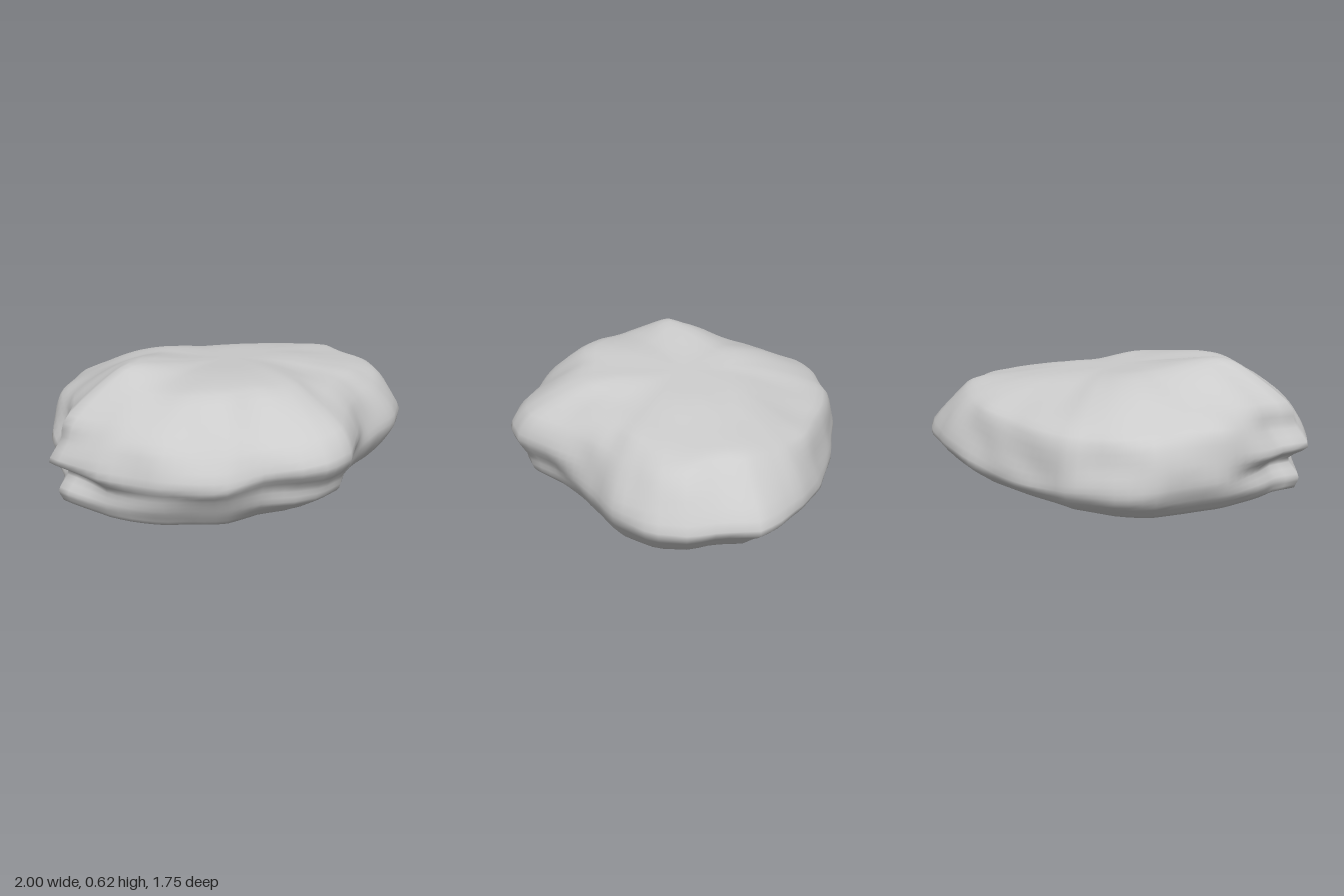
import * as THREE from 'three';

// Plan outline of the boulder, [x, z], turning from +x towards +z
const OUTLINE = [
  [1, -0.07], [0.965, 0.1], [0.97, 0.24], [0.88, 0.4], [0.67, 0.54], [0.52, 0.575], [0.35, 0.64], [0.15, 0.75],
  [0, 0.86], [-0.15, 0.88], [-0.28, 0.83], [-0.42, 0.73], [-0.6, 0.67], [-0.7, 0.58], [-0.82, 0.45],
  [-0.94, 0.2], [-1, -0.13], [-0.9, -0.23], [-0.84, -0.38], [-0.71, -0.59], [-0.4, -0.85],
  [-0.25, -0.88], [0, -0.85], [0.3, -0.7], [0.62, -0.51], [0.81, -0.35], [0.95, -0.17],
];

// Side profiles: direction in degrees, then [share of outline radius, height] from base to crown
const PROFILES = [
  { at: 5, p: [[0.8, 0], [0.91, 0.09], [1, 0.18], [0.91, 0.32], [0.8, 0.42], [0.7, 0.455], [0.5, 0.49], [0.25, 0.53]] },
  { at: 40, p: [[0.86, 0], [0.94, 0.07], [1, 0.17], [0.94, 0.28], [0.86, 0.38], [0.72, 0.46], [0.5, 0.495], [0.25, 0.53]] },
  { at: 98, p: [[0.76, 0], [0.9, 0.09], [0.92, 0.17], [1, 0.27], [0.93, 0.38], [0.76, 0.47], [0.56, 0.54], [0.3, 0.555]] },
  { at: 140, p: [[0.86, 0], [0.92, 0.08], [0.97, 0.17], [1, 0.24], [0.94, 0.35], [0.83, 0.45], [0.65, 0.565], [0.35, 0.575]] },
  { at: 164, p: [[0.92, 0], [0.95, 0.07], [0.95, 0.15], [1, 0.22], [0.94, 0.35], [0.84, 0.44], [0.66, 0.545], [0.4, 0.57]] },
  { at: 187, p: [[0.94, 0], [0.96, 0.06], [0.9, 0.14], [1, 0.21], [0.93, 0.32], [0.9, 0.42], [0.65, 0.585], [0.48, 0.615]] },
  { at: 230, p: [[0.9, 0], [0.97, 0.07], [1, 0.15], [0.98, 0.25], [0.93, 0.36], [0.78, 0.44], [0.6, 0.51], [0.35, 0.565]] },
  { at: 285, p: [[0.83, 0], [0.95, 0.05], [1, 0.1], [0.97, 0.2], [0.92, 0.34], [0.75, 0.41], [0.45, 0.505], [0.2, 0.54]] },
];
const CROWN = 0.548;
const SEGMENTS = 96, RINGS = 27;

// Radius of the outline along a direction: ray against each edge
function outlineRadius(a) {
  const c = Math.cos(a), s = Math.sin(a);
  let best = 0;
  OUTLINE.forEach(([x1, z1], i) => {
    const [x2, z2] = OUTLINE[(i + 1) % OUTLINE.length];
    const d1 = c * z1 - s * x1, d2 = c * z2 - s * x2;
    if (d1 * d2 > 0 || d1 === d2) return;
    const t = d1 / (d1 - d2);
    best = Math.max(best, c * (x1 + t * (x2 - x1)) + s * (z1 + t * (z2 - z1)));
  });
  return best;
}

// Smooth curve through each profile, ending at the crown
const curves = PROFILES.map(({ p }) => new THREE.CatmullRomCurve3(
  [...p, [0, CROWN]].map(([r, y]) => new THREE.Vector3(r, y, 0)), false, 'catmullrom', 0.4));

// Blend of the two profiles on either side of a direction
function profileAt(a, t) {
  const deg = (THREE.MathUtils.radToDeg(a) - PROFILES[0].at + 360) % 360 + PROFILES[0].at;
  let i = PROFILES.length - 1;
  while (PROFILES[i].at > deg) i--;
  const j = (i + 1) % PROFILES.length;
  const end = j ? PROFILES[j].at : PROFILES[0].at + 360;
  const k = THREE.MathUtils.smoothstep(deg, PROFILES[i].at, end);
  return curves[i].getPoint(t).lerp(curves[j].getPoint(t), k);
}

// Body vertex for a direction and a height step t (0 base, 1 crown)
function surfacePoint(a, t) {
  const { x: share, y } = profileAt(a, t);
  const rough = Math.sin(Math.PI * t) * share;
  const bump = 0.007 * rough * (Math.sin(a * 7 + t * 11) + Math.sin(a * 11 - t * 17));
  const r = outlineRadius(a) * Math.min(1, share + bump);
  const x = r * Math.cos(a), z = r * Math.sin(a);
  // Gently tilted crown, easing into the profiles further out
  const crown = CROWN - 0.09 * x + 0.03 * z;
  const height = THREE.MathUtils.lerp(crown, y, THREE.MathUtils.smoothstep(share, 0.08, 0.55));
  const dent = 0.006 * rough * Math.sin(a * 5 + t * 14);
  return [x, t > 0 ? height + dent : 0, z];
}

export function createModel() {
  const group = new THREE.Group();
  group.name = 'boulder';
  const positions = [], index = [];

  // Weathered body: rings from the base up to the crown
  for (let j = 0; j < RINGS; j++) {
    for (let i = 0; i < SEGMENTS; i++) {
      positions.push(...surfacePoint((i / SEGMENTS) * Math.PI * 2, j / RINGS));
    }
  }
  const top = positions.length / 3, bottom = top + 1;
  positions.push(0, CROWN, 0, 0, 0, 0);

  for (let i = 0; i < SEGMENTS; i++) {
    const n = (i + 1) % SEGMENTS;
    // Flat underside
    index.push(bottom, i, n);
    // Sides
    for (let j = 0; j < RINGS - 1; j++) {
      const a = j * SEGMENTS + i, b = j * SEGMENTS + n;
      index.push(a, a + SEGMENTS, b, b, a + SEGMENTS, b + SEGMENTS);
    }
    // Crown fan
    const last = (RINGS - 1) * SEGMENTS;
    index.push(last + i, top, last + n);
  }

  const geometry = new THREE.BufferGeometry();
  geometry.setAttribute('position', new THREE.Float32BufferAttribute(positions, 3));
  geometry.setIndex(index);
  geometry.computeVertexNormals();
  const body = new THREE.Mesh(geometry, new THREE.MeshStandardMaterial({ color: 0xcccccc }));
  body.name = 'rockBody';
  group.add(body);
  return group;
}
